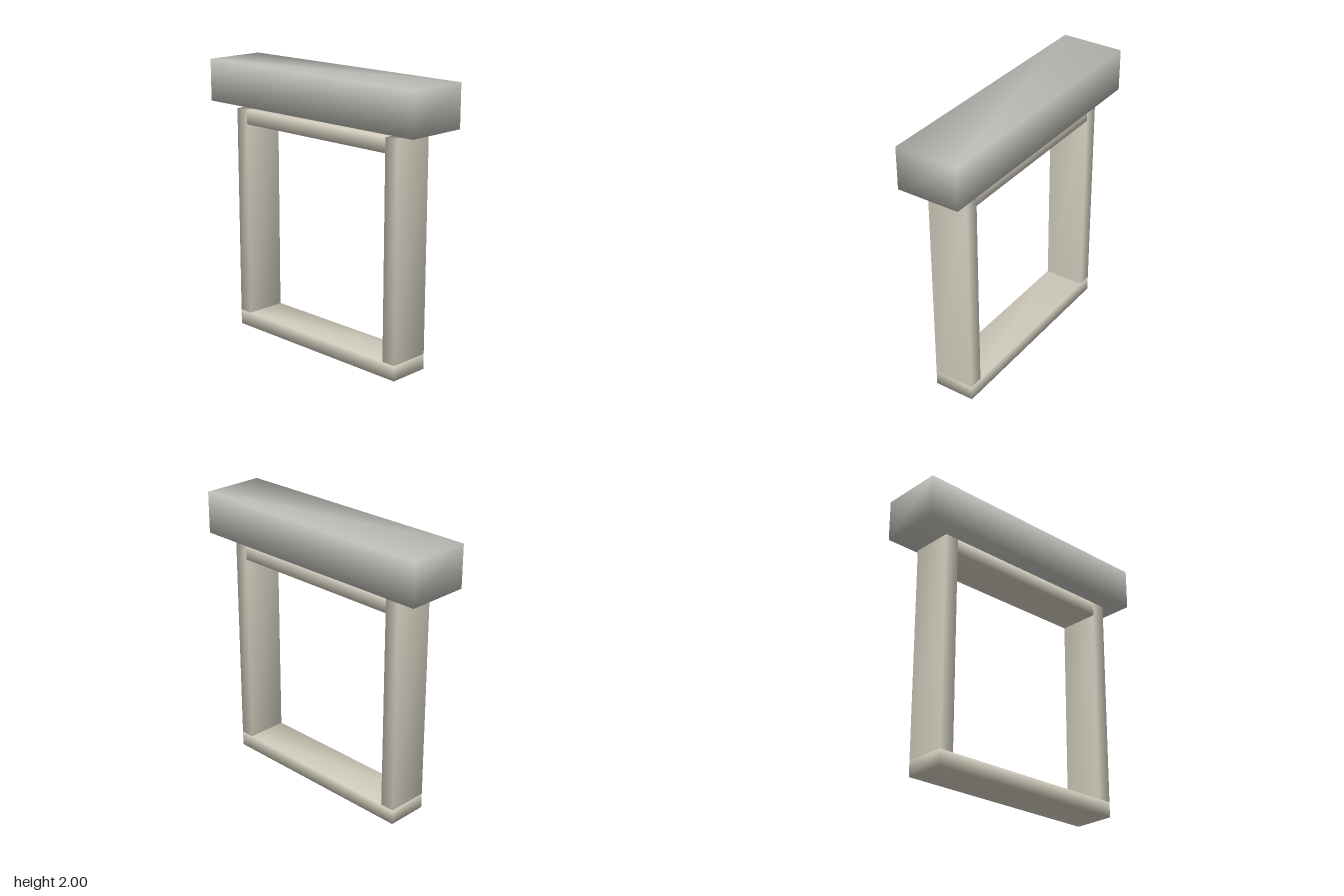
import * as THREE from 'three';
import { mergeVertices } from 'three/addons/utils/BufferGeometryUtils.js';

const frameMaterial = new THREE.MeshStandardMaterial({ color: 0xcfcabb });
const lintelMaterial = new THREE.MeshStandardMaterial({ color: 0xbdbdb8 });

// Box with welded corners, so its shading runs smoothly over the edges
function beam(name, [width, height, depth], [x, bottom, z], material) {
  const box = new THREE.BoxGeometry(width, height, depth);
  box.deleteAttribute('normal');
  box.deleteAttribute('uv');
  const geometry = mergeVertices(box);
  geometry.computeVertexNormals();
  const mesh = new THREE.Mesh(geometry, material);
  mesh.name = name;
  mesh.position.set(x, bottom + height / 2, z);
  return mesh;
}

export function createModel() {
  const group = new THREE.Group();
  group.name = 'windowFrame';

  const width = 1.55, depth = 0.304, thick = 0.105, sill = 0.11, top = 1.655;

  // Sill and top rail
  group.add(beam('sill', [width, sill, depth], [0, 0, 0], frameMaterial));
  group.add(beam('topRail', [width - 2 * thick, thick, depth], [0, top - thick, 0], frameMaterial));

  // Uprights on both sides
  for (const [name, side] of [['leftUpright', 1], ['rightUpright', -1]]) {
    const x = side * (width - thick) / 2;
    group.add(beam(name, [thick, top - sill, depth], [x, sill, 0], frameMaterial));
  }

  // Wide lintel floating just above the frame
  group.add(beam('lintel', [1.94, 0.305, 0.46], [0, 1.695, 0], lintelMaterial));

  return group;
}
